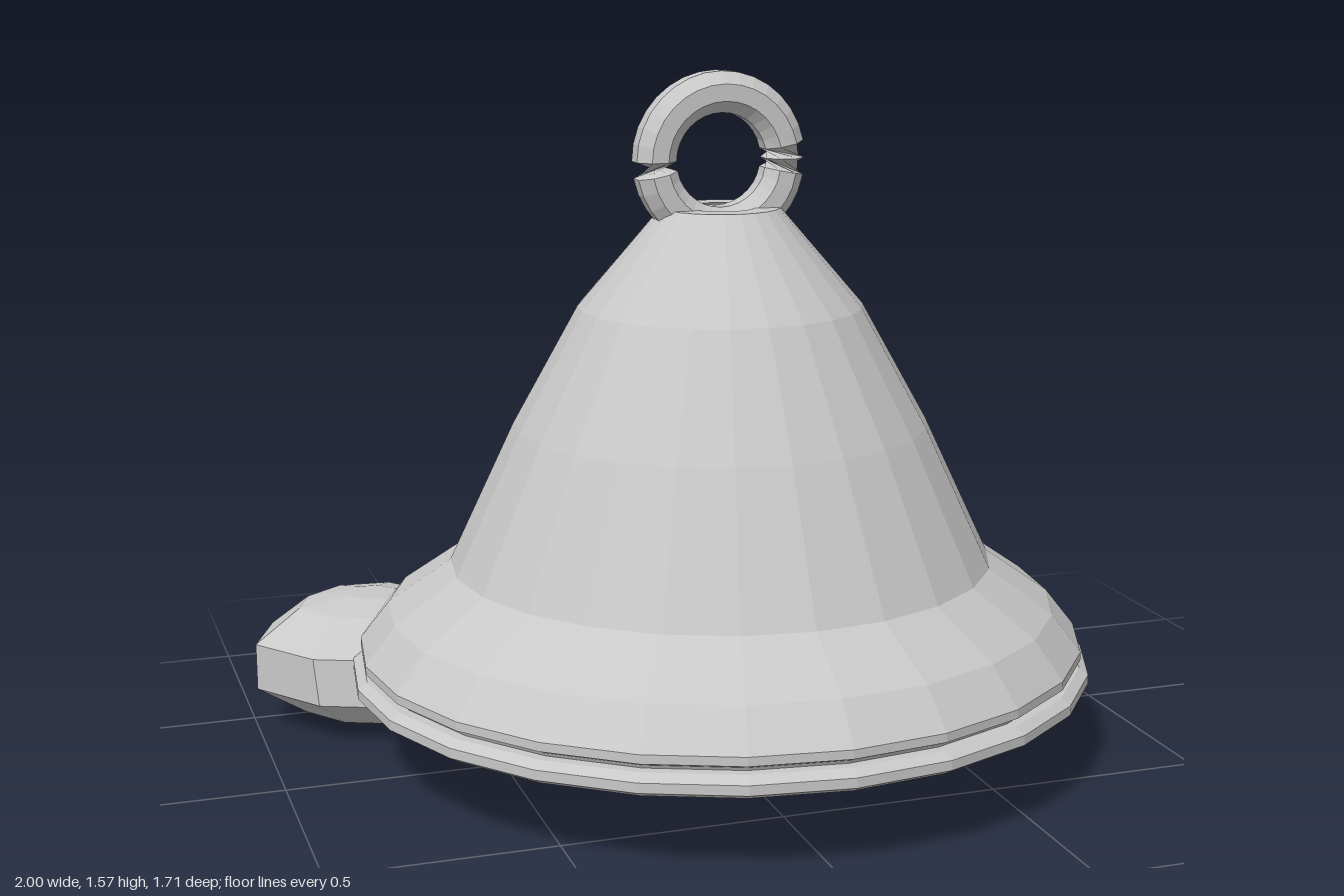
import * as THREE from 'three';
import { ConvexGeometry } from 'three/addons/geometries/ConvexGeometry.js';

const AXIS = 0.025; // x of the bell's axis

export function createModel() {
  const group = new THREE.Group();
  const grey = new THREE.MeshStandardMaterial({ color: 0xc8c8c8, flatShading: true, side: THREE.DoubleSide });
  grey.name = 'grey metal';

  const add = (name, geometry, x = 0, y = 0, z = 0) => {
    const mesh = new THREE.Mesh(geometry, grey);
    mesh.name = name;
    mesh.position.set(x, y, z);
    group.add(mesh);
    return mesh;
  };
  const lathe = (pts) => new THREE.LatheGeometry(pts.map(([r, y]) => new THREE.Vector2(r, y)), 24);

  // Hollow bell shell: outside from the lip up, then back down the inside
  add('bellShell', lathe([
    [0.77, 0.163], [0.785, 0.19], [0.815, 0.245], [0.837, 0.255], [0.837, 0.275], [0.77, 0.36],
    [0.625, 0.46], [0.475, 0.78], [0.325, 1.05], [0.135, 1.272],
    [0.08, 1.272], [0.285, 1.02], [0.43, 0.75], [0.62, 0.37], [0.7, 0.19], [0.715, 0.163], [0.77, 0.163],
  ]), AXIS);

  // Rounded hoop around the mouth
  add('rimHoop', lathe([
    [0.78, 0.187], [0.835, 0.187], [0.856, 0.2], [0.856, 0.222], [0.835, 0.237], [0.78, 0.237],
  ]), AXIS);

  // Hanging ring, its cross-section twisted half a turn on the left side
  const R = 0.152, tube = 0.05;
  const ring = new THREE.TorusGeometry(R, tube, 8, 32);
  const pos = ring.attributes.position;
  for (let j = 0; j <= 8; j++) {
    for (let i = 0; i <= 32; i++) {
      const u = (i / 32) * Math.PI * 2;
      const signed = u > Math.PI ? u - Math.PI * 2 : u;
      const twist = THREE.MathUtils.clamp((signed + 0.2) / 0.4, 0, 1) * Math.PI;
      const v = ((j + 0.5) / 8) * Math.PI * 2 + twist;
      const r = R + tube * Math.cos(v);
      pos.setXYZ(j * 33 + i, r * Math.cos(u), r * Math.sin(u), tube * 1.06 * Math.sin(v));
    }
  }
  ring.computeVertexNormals();
  add('hangingRing', ring, 0.021, 1.38, 0);

  // Egg-shaped clapper inside the bell
  const clapper = add('clapper', new THREE.SphereGeometry(0.113, 12, 8), AXIS + 0.015, 0.36, 0.07);
  clapper.scale.y = 1.32;

  // Faceted stones under the back of the rim: height, outline scale, outward shift
  const levels = [[0.005, 0.2, 0], [0.03, 0.62, 0], [0.105, 1, 0], [0.215, 0.92, 0.024], [0.29, 0.55, 0.03], [0.31, 0.2, 0.02]];
  const stone = (name, outline) => {
    const n = outline.length;
    const cx = outline.reduce((s, p) => s + p[0], 0) / n;
    const cz = outline.reduce((s, p) => s + p[1], 0) / n;
    const points = [];
    for (const [y, k, out] of levels) {
      for (const [x, z] of outline) {
        points.push(new THREE.Vector3(cx + (x - cx) * k + out * Math.sign(cx), y, cz + (z - cz) * k));
      }
    }
    add(name, new ConvexGeometry(points));
  };
  stone('rightStone', [[-1, -0.42], [-0.93, -0.6], [-0.77, -0.72], [-0.55, -0.7],
    [-0.41, -0.52], [-0.42, -0.3], [-0.6, -0.13], [-0.88, -0.25]]);
  stone('leftStone', [[1, -0.31], [0.98, -0.5], [0.82, -0.63], [0.6, -0.64],
    [0.41, -0.5], [0.38, -0.27], [0.55, -0.08], [0.86, -0.15]]);

  return group;
}
